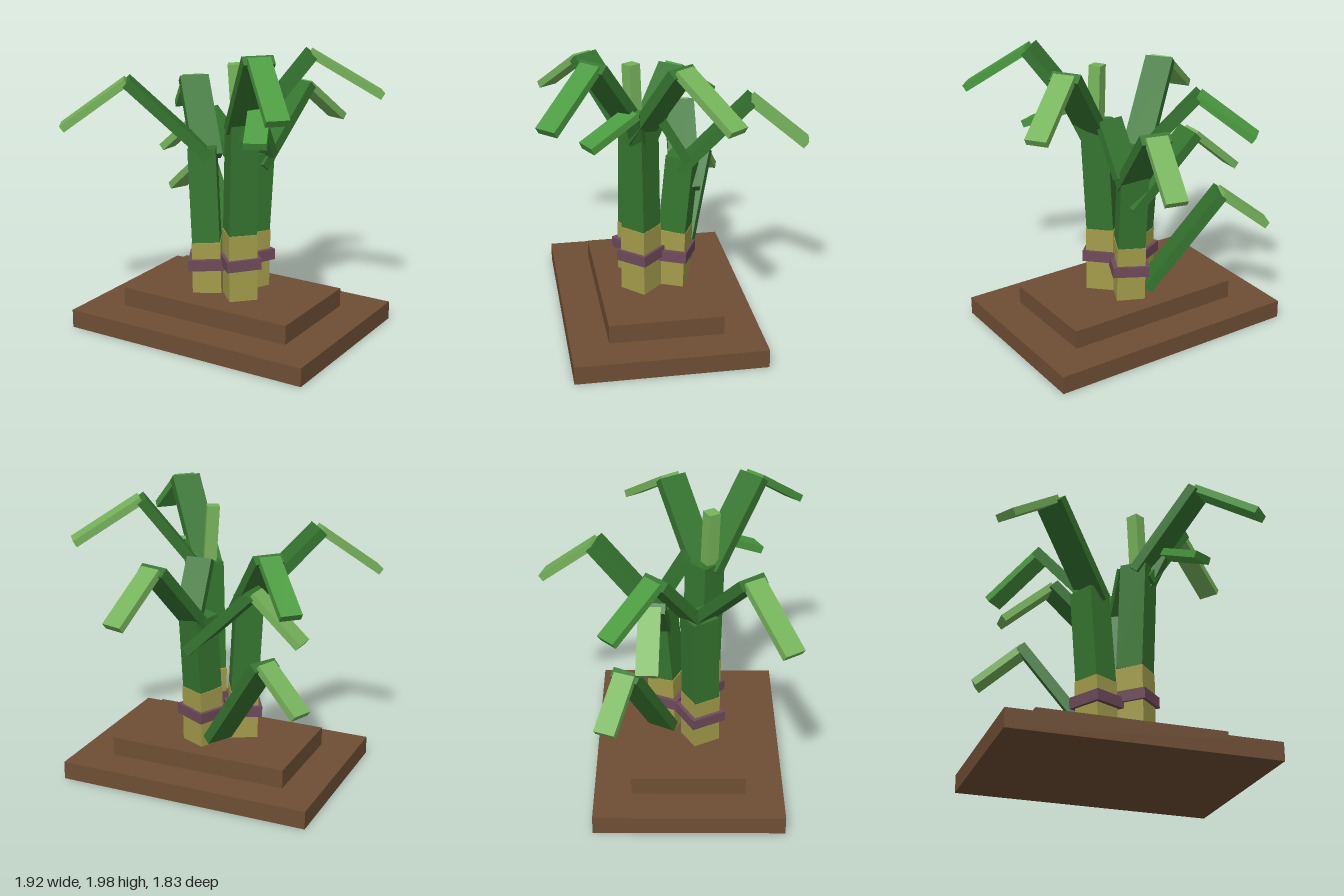
import * as THREE from 'three';

export function createModel() {
  const model = new THREE.Group();
  const mat = (name, color) => {
    const m = new THREE.MeshStandardMaterial({ color });
    m.name = name;
    return m;
  };
  const soil = mat('soil brown', 0x6e4e34);
  const straw = mat('straw yellow', 0xa39c4a);
  const plum = mat('plum band', 0x6e4a5a);
  const dark = mat('dark green', 0x35752f);
  const mid = mat('leaf green', 0x4b9b40);
  const pale = mat('pale green', 0x76b45a);
  const V = (p) => new THREE.Vector3(...p);

  const add = (parent, name, material, w, h, d, pos) => {
    const mesh = new THREE.Mesh(new THREE.BoxGeometry(w, h, d), material);
    mesh.name = name;
    mesh.position.copy(pos);
    parent.add(mesh);
    return mesh;
  };

  // Square post between two points, turned about its own axis
  const post = (parent, name, material, p, q, size, yaw) => {
    const a = V(p), b = V(q), dir = b.clone().sub(a);
    const mesh = add(parent, name, material, size, dir.length(), size, a.add(b).multiplyScalar(0.5));
    mesh.quaternion.setFromUnitVectors(new THREE.Vector3(0, 1, 0), dir.normalize());
    mesh.rotateY(THREE.MathUtils.degToRad(yaw));
  };

  // Flat strip between two points, its width kept level
  const strip = (parent, name, material, p, q, width, thick) => {
    const a = V(p), b = V(q), y = b.clone().sub(a), len = y.length();
    y.normalize();
    const x = y.clone().cross(new THREE.Vector3(0, 1, 0)).normalize();
    const z = x.clone().cross(y);
    const mesh = add(parent, name, material, width, len, thick, a.add(b).multiplyScalar(0.5));
    mesh.quaternion.setFromRotationMatrix(new THREE.Matrix4().makeBasis(x, y, z));
  };

  // Stepped base
  add(model, 'lowerBase', soil, 1.78, 0.125, 1.27, V([0.02, 0.0625, 0.105]));
  add(model, 'upperBase', soil, 1.27, 0.13, 0.765, V([0.02, 0.19, 0.1025]));

  // Three stalks: straw foot, tied band, leaning green stem
  const stalks = [
    { foot: [0.14, 0.25, 0.195], joint: [0.137, 0.713, 0.195], top: [0.165, 1.475, 0.21], yaw: 45, band: 0.51, bandSize: 0.235 },
    { foot: [-0.125, 0.25, 0.185], joint: [-0.132, 0.607, 0.185], top: [-0.172, 1.25, 0.17], yaw: 29, band: 0.46, bandSize: 0.25 },
    { foot: [0.075, 0.25, -0.035], joint: [0.075, 0.655, -0.05], top: [0.08, 1.19, -0.1], yaw: -25, band: 0.48, bandSize: 0.25 },
  ];
  for (const s of stalks) {
    const g = new THREE.Group();
    g.name = 'stalk';
    model.add(g);
    post(g, 'foot', straw, s.foot, s.joint, 0.194, s.yaw);
    post(g, 'stem', dark, s.joint, s.top, 0.187, s.yaw);
    const band = add(g, 'band', plum, s.bandSize, 0.075, s.bandSize, V([s.foot[0], s.band, s.foot[2]]));
    band.rotation.y = THREE.MathUtils.degToRad(s.yaw);
    band.rotation.z = 0.04;
  }

  // Bent fronds: a rising arm and a drooping leaf
  const fronds = [
    { pts: [[0.09, 1.1, -0.08], [0.2, 1.6, -0.53], [0.295, 1.31, -0.885]], leaf: pale },
    { pts: [[0.17, 1.36, 0.22], [0.54, 1.92, -0.02], [0.91, 1.645, -0.285]], leaf: pale },
    { pts: [[0.16, 1.42, 0.23], [0.48, 1.96, 0.54], [0.79, 1.67, 0.845]], leaf: mid },
    { pts: [[-0.13, 1.2, 0.17], [-0.55, 1.71, 0.49], [-0.905, 1.405, 0.725]], leaf: pale },
    { pts: [[-0.14, 1.18, 0.16], [-0.43, 1.64, -0.12], [-0.7, 1.37, -0.41]], leaf: mid },
    { pts: [[0.12, 0.95, -0.11], [-0.35, 1.41, -0.15], [-0.69, 1.11, -0.165]], leaf: pale },
    { pts: [[-0.05, 0.31, -0.07], [-0.49, 0.99, -0.31], [-0.79, 0.735, -0.435]], leaf: pale },
    { pts: [[0.2, 1.28, 0.2], [0.33, 1.59, 0.27], [0.48, 1.43, 0.58]], leaf: mid, arm: 0.1 },
  ];
  for (const f of fronds) {
    const g = new THREE.Group();
    g.name = 'frond';
    model.add(g);
    const [root, bend, tip] = f.pts;
    strip(g, 'arm', dark, root, bend, f.arm ?? 0.2, 0.07);
    strip(g, 'leaf', f.leaf, bend, tip, 0.145, 0.05);
  }

  // Short drooping sheath and upright shoot on the tallest stalk
  strip(model, 'sheath', dark, [0.15, 1.52, 0.09], [0.14, 1.18, -0.11], 0.18, 0.06);
  post(model, 'shoot', pale, [0.16, 1.3, 0.235], [0.13, 1.855, 0.25], 0.085, 30);

  return model;
}
